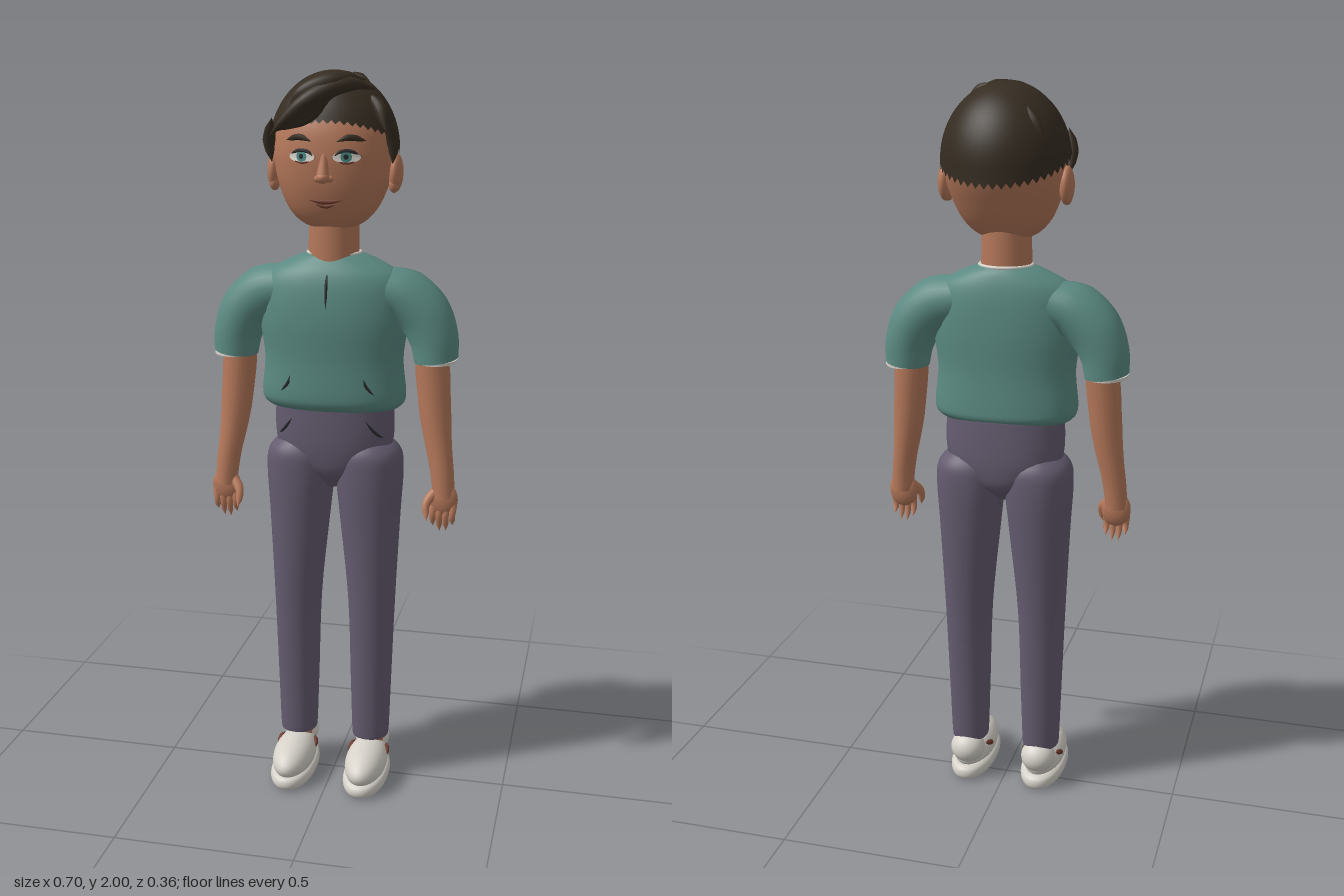
import * as THREE from 'three';
import { mergeVertices } from 'three/addons/utils/BufferGeometryUtils.js';

const paint = (name, color, side = THREE.FrontSide) => {
  const m = new THREE.MeshStandardMaterial({ color, side });
  m.name = name;
  return m;
};

// Section rows: [y, centre x, half width, front z, back z]
const TORSO = [[1.115, 0, .178, .092, -.1], [1.13, 0, .194, .105, -.11], [1.16, 0, .198, .11, -.11], [1.25, 0, .19, .109, -.105],
  [1.35, 0, .202, .112, -.105], [1.43, 0, .2, .105, -.1], [1.48, 0, .176, .092, -.092], [1.515, 0, .115, .07, -.08], [1.533, 0, .065, .056, -.066]];
const HEAD = [[1.597, 0, .045, .055, -.03], [1.615, 0, .085, .078, -.055], [1.65, 0, .118, .1, -.085], [1.7, 0, .141, .117, -.115],
  [1.75, 0, .155, .125, -.14], [1.8, 0, .16, .127, -.155], [1.86, 0, .15, .118, -.15], [1.92, 0, .115, .09, -.12], [1.95, 0, .07, .05, -.08]];
const HIPS = [[.885, 0, .02, .03, -.05], [.93, 0, .09, .07, -.1], [.98, 0, .15, .083, -.112], [1.04, 0, .165, .088, -.112], [1.13, 0, .163, .088, -.105]];
const LEG = [[.125, .107, .05, .043, -.062], [.14, .107, .053, .046, -.066], [.3, .107, .058, .053, -.075], [.55, .107, .066, .066, -.09],
  [.8, .1, .084, .08, -.11], [.93, .097, .094, .085, -.116], [.99, .096, .086, .08, -.108], [1.03, .096, .04, .05, -.07]];

// Smooth closed body through rounded cross-sections
function loft(rows, side = 1, power = 2.2, n = 40, steps = 5) {
  const pos = [], idx = [], rings = [];
  const row = i => rows[Math.min(rows.length - 1, Math.max(0, i))];
  for (let k = 0; k <= (rows.length - 1) * steps; k++) {
    const i = Math.floor(k / steps), t = (k % steps) / steps;
    const [a, b, c, d] = [row(i - 1), row(i), row(i + 1), row(i + 2)];
    rings.push(b.map((v, j) => v + .5 * t * (c[j] - a[j] + t * (2 * a[j] - 5 * v + 4 * c[j] - d[j] + t * (3 * (v - c[j]) + d[j] - a[j])))));
  }
  const bend = v => Math.sign(v) * Math.abs(v) ** (2 / power);
  rings.forEach(([y, cx, rx, zf, zb], j) => {
    for (let i = 0; i < n; i++) {
      const a = i / n * Math.PI * 2, p = j * n + i, q = j * n + (i + 1) % n;
      pos.push(cx * side + rx * bend(Math.cos(a)), y, (zf + zb) / 2 + (zf - zb) / 2 * bend(Math.sin(a)));
      if (j < rings.length - 1) idx.push(p, p + n, q, q, p + n, q + n);
    }
  });
  [rings[0], rings.at(-1)].forEach(([y, cx, , zf, zb], end) => {
    const c = pos.length / 3, base = end * (rings.length - 1) * n;
    pos.push(cx * side, y, (zf + zb) / 2);
    for (let i = 0; i < n; i++) {
      const p = base + i, q = base + (i + 1) % n;
      idx.push(c, ...(end ? [q, p] : [p, q]));
    }
  });
  const g = new THREE.BufferGeometry();
  g.setAttribute('position', new THREE.Float32BufferAttribute(pos, 3));
  g.setIndex(idx);
  g.computeVertexNormals();
  return g;
}

// Front surface depth of a lofted body at x, y
function frontZ(rows, x, y, power = 2.2) {
  const i = Math.max(0, Math.min(rows.length - 2, rows.findIndex(r => r[0] > y) - 1));
  const t = (y - rows[i][0]) / (rows[i + 1][0] - rows[i][0]);
  const [, cx, rx, zf, zb] = rows[i].map((v, j) => v + t * (rows[i + 1][j] - v));
  const u = Math.min(1, Math.abs((x - cx) / rx));
  return (zf + zb) / 2 + (zf - zb) / 2 * (1 - u ** power) ** (1 / power);
}

// Tube whose radius follows a list and whose depth can be squashed
function taper(points, radii, depth = 1, seg = 24, n = 16) {
  const curve = new THREE.CatmullRomCurve3(points.map(p => new THREE.Vector3(...p)));
  const g = new THREE.TubeGeometry(curve, seg, 1, n), p = g.attributes.position, v = new THREE.Vector3();
  for (let k = 0; k < p.count; k++) {
    const t = Math.floor(k / (n + 1)) / seg, f = t * (radii.length - 1), i = Math.min(radii.length - 2, Math.floor(f));
    const r = radii[i] + (f - i) * (radii[i + 1] - radii[i]), c = curve.getPointAt(t);
    v.fromBufferAttribute(p, k).sub(c).multiplyScalar(r);
    p.setXYZ(k, c.x + v.x, c.y + v.y, c.z + v.z * depth);
  }
  return g;
}

// Hair cap with a rim that drops from forehead to nape
function hairCap() {
  const g = new THREE.SphereGeometry(1, 48, 24), p = g.attributes.position, uv = g.attributes.uv;
  for (let k = 0; k < p.count; k++) {
    const a = uv.getX(k) * Math.PI * 2, d = Math.sin(a), t = 1 - uv.getY(k);
    const rim = d < 0 ? 1.805 + .06 * d : 1.805 + .065 * d;
    const th = t * Math.acos((rim - 1.8) / .2), r = th > Math.PI / 2 ? 1 : Math.sin(th);
    p.setXYZ(k, -Math.cos(a) * r * .171, 1.8 + .198 * Math.cos(th), d * r * (d < 0 ? .177 : .14));
  }
  g.deleteAttribute('uv');
  g.deleteAttribute('normal');
  const m = mergeVertices(g);
  m.computeVertexNormals();
  return m;
}

export function createModel() {
  const model = new THREE.Group();
  const skin = paint('skin', 0xb5785a), hair = paint('hair', 0x352c21, THREE.DoubleSide), teal = paint('shirt teal', 0x5b8a82, THREE.DoubleSide);
  const plum = paint('trouser plum', 0x655c70), cream = paint('shoe cream', 0xd6d2ca), dark = paint('seam dark', 0x2b2a2e);
  const white = paint('eye white', 0xe4e0d8), iris = paint('iris green', 0x4f8f8a), lip = paint('lip brown', 0x6e3a2c);
  const add = (name, geo, mat, pos = [0, 0, 0], scale = [1, 1, 1]) => {
    const m = new THREE.Mesh(geo, mat);
    m.name = name;
    m.position.set(...pos);
    m.scale.set(...scale);
    model.add(m);
    return m;
  };
  const ball = new THREE.SphereGeometry(1, 32, 20);
  const stroke = (name, rows, pts, r, mat) => add(name,
    taper(pts.map(([x, y]) => [x, y, frontZ(rows, x, y) + .001]), [0, r, r, 0], 1, 16, 8), mat);
  const decal = (name, x, y, rx, ry, lift, mat) => {
    const g = new THREE.CircleGeometry(1, 24), p = g.attributes.position;
    for (let k = 0; k < p.count; k++) {
      const px = x + p.getX(k) * rx, py = y + p.getY(k) * ry;
      p.setXYZ(k, px, py, frontZ(HEAD, px, py) + lift);
    }
    g.computeVertexNormals();
    return add(name, g, mat);
  };

  // Torso and hips
  add('shirt', loft(TORSO), teal);
  add('hips', loft(HIPS), plum);
  add('collar', new THREE.TorusGeometry(1, .07, 10, 40).rotateX(Math.PI / 2), cream, [0, 1.531, -.004], [.07, .07, .064]);
  stroke('placket', TORSO, [[0, 1.5], [0, 1.46], [0, 1.39]], .004, dark);

  // Head, neck and face
  add('neck', new THREE.CylinderGeometry(.066, .068, .15, 32), skin, [0, 1.585, .002]);
  add('head', loft(HEAD), skin);
  add('noseBridge', taper([[0, 1.8, .118], [0, 1.77, .127], [0, 1.738, .138]], [.006, .012, .017]), skin);
  add('noseTip', ball, skin, [0, 1.737, .137], [.018, .015, .019]);
  stroke('mouth', HEAD, [[-.045, 1.678], [-.015, 1.674], [.015, 1.674], [.045, 1.678]], .006, lip);
  stroke('lowerLip', HEAD, [[-.028, 1.667], [0, 1.662], [.028, 1.667]], .005, lip);

  // Hair cap, swept fringe and ridges
  const lock = (pts, r, depth = 1) => add('hairLock', taper(pts, [0, r * .8, r, r * .7, 0], depth), hair);
  add('hairCap', hairCap(), hair);
  for (let i = 0; i < 4; i++) {
    const k = i * .018;
    lock([[.12 - k, 1.95 + k * .5, .04], [.06 - k, 1.965, .1 + k * .3], [-.03, 1.93 - k * .6, .145 - k * .3],
      [-.1, 1.875 - k * .3, .14 - k * .2], [-.145 + k * .4, 1.835 + k * .3, .12]], .024);
  }
  lock([[.09, 1.975, .03], [.03, 1.972, .11], [-.05, 1.945, .13], [-.1, 1.89, .11]], .026);
  lock([[.1, 1.94, .04], [.135, 1.9, .07], [.15, 1.85, .08]], .018);
  lock([[-.125, 1.85, -.1], [-.1, 1.905, -.1], [-.05, 1.962, -.07]], .014);
  lock([[.03, 1.985, -.01], [.065, 1.978, -.008], [.1, 1.95, 0]], .013);

  for (const s of [1, -1]) {
    const mx = pts => pts.map(([x, ...rest]) => [x * s, ...rest]);

    // Ear, eye, brow and sideburn
    add('ear', ball, skin, [.162 * s, 1.742, -.008], [.019, .05, .038]);
    add('earLobe', ball, skin, [.16 * s, 1.712, .004], [.014, .022, .02]);
    add('nostril', ball, skin, [.015 * s, 1.733, .126], [.01, .009, .012]);
    decal('eyeWhite', .058 * s, 1.787, .035, .014, .003, white);
    decal('iris', .058 * s, 1.788, .014, .0135, .005, iris);
    decal('pupil', .058 * s, 1.788, .006, .0065, .007, dark);
    stroke('upperLid', HEAD, mx([[.02, 1.783], [.042, 1.8], [.07, 1.801], [.096, 1.788]]), .005, dark);
    stroke('lowerLid', HEAD, mx([[.022, 1.783], [.058, 1.772], [.094, 1.784]]), .003, lip);
    stroke('eyebrow', HEAD, mx([[.03, 1.824], [.065, 1.835], [.108, 1.825]]), .008, hair);
    lock(mx([[.15, 1.88, .065], [.163, 1.82, .045], [.16, 1.765, .03]]), .017);

    // Sleeve, arm and hand
    add('sleeve', taper(mx([[.13, 1.435, -.005], [.19, 1.418, -.008], [.243, 1.37, -.01], [.27, 1.31, -.01], [.278, 1.25, -.01]]),
      [.06, .074, .073, .066, .059], 1.25, 32, 28), teal);
    add('sleeveHem', new THREE.CylinderGeometry(1, 1, .008, 32), cream, [.278 * s, 1.25, -.01], [.058, 1, .073]);
    add('arm', taper(mx([[.262, 1.32, -.01], [.269, 1.22, -.009], [.283, 1.07, -.002], [.303, .94, .008], [.31, .87, .012]]),
      [.044, .047, .043, .034, .03], .95), skin);
    add('palm', ball, skin, [.308 * s, .865, .014], [.041, .05, .022]);
    for (let f = 0; f < 4; f++) {
      const x = .281 + f * .018, tip = [.785, .77, .772, .79][f];
      add('finger', taper(mx([[x + .002, .86, .015], [x, .82, .022], [x, tip, .01]]), [.011, .011, .009, .008, 0], 1, 16, 10), skin);
    }
    add('thumb', taper(mx([[.285, .885, .016], [.265, .855, .035], [.268, .81, .05]]), [.013, .014, .011, .009, 0], 1, 16, 10), skin);

    // Trouser leg, pockets and shoe
    add('trouserLeg', loft(LEG, s), plum);
    stroke('shirtPocketSeam', TORSO, mx([[.1, 1.212], [.107, 1.19], [.128, 1.165]]), .004, dark);
    stroke('trouserPocketSeam', HIPS, mx([[.1, 1.09], [.125, 1.055], [.15, 1.03]]), .004, dark);
    add('ankle', new THREE.CylinderGeometry(.038, .038, .07, 24), skin, [.107 * s, .12, -.015]);
    add('sole', loft([[0, .107, .05, .16, -.075], [.008, .107, .06, .176, -.088], [.022, .107, .064, .181, -.092],
      [.036, .107, .06, .176, -.088], [.044, .107, .05, .16, -.075]], s), cream);
    add('shoeUpper', ball, cream, [.107 * s, .062, .05], [.059, .054, .126]);
    add('shoeHeel', ball, cream, [.107 * s, .093, -.042], [.05, .047, .05]);
    for (const e of [1, -1]) {
      add('shoeSeam', taper([[.107 * s + .054 * e, .068, .035], [.107 * s + .052 * e, .082, .01], [.107 * s + .046 * e, .09, -.012]],
        [0, .008, .008, 0], 1, 12, 8), lip);
    }
  }
  return model;
}
